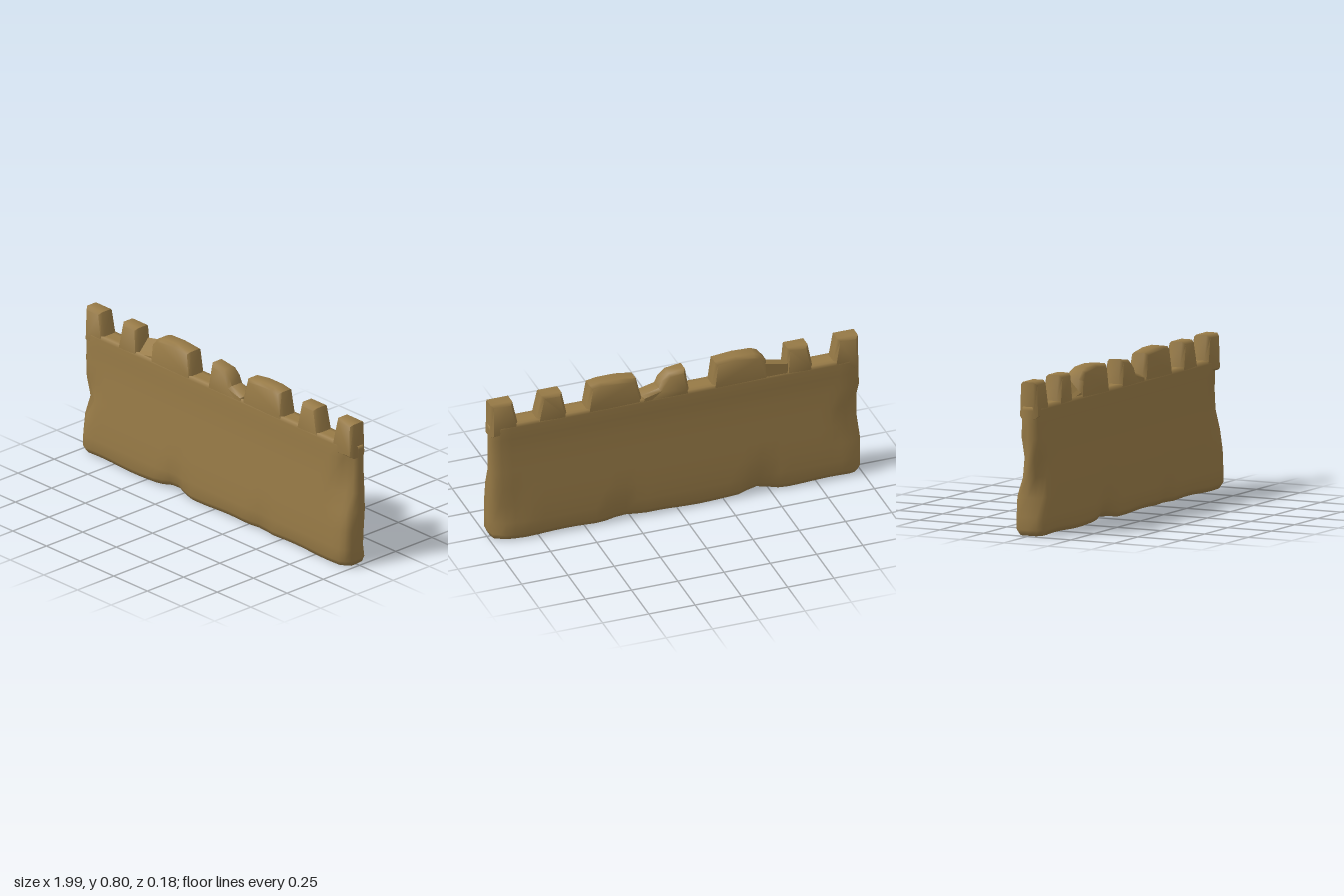
import * as THREE from 'three';
import { mergeVertices, toCreasedNormals } from 'three/addons/utils/BufferGeometryUtils.js';

// Half thickness of the wall at each height row
const ROWS = [[0.006, 0.074], [0.035, 0.09], [0.1, 0.089], [0.2, 0.084], [0.3, 0.074], [0.4, 0.065],
  [0.5, 0.056], [0.58, 0.053], [0.645, 0.052], [0.664, 0.047]];

// Worn spots: centre x, y, side, radius, push in x, y and z
const DENTS = [
  [-1, 0.3, 1, 0.13, 0.06, 0, -0.025], [-1, 0.36, -1, 0.14, 0.06, 0, 0.025],
  [1, 0.45, 1, 0.17, -0.05, 0, -0.03], [1, 0.62, 1, 0.1, -0.03, 0, -0.015],
  [1, 0.12, -1, 0.2, -0.03, 0, 0.025],
  [-0.3, 0.02, 1, 0.11, 0, 0.02, -0.025], [0.35, 0.02, 1, 0.1, 0, 0.006, -0.012],
  [-0.45, 0.02, -1, 0.12, 0, 0.015, 0.03], [0.3, 0.02, -1, 0.12, 0, 0.01, 0.02],
];

function wallBody() {
  const nx = 36, ny = ROWS.length - 1;
  let geo = new THREE.BoxGeometry(2, 2, 2, nx, ny, 4);
  geo.deleteAttribute('uv');
  geo.deleteAttribute('normal');
  geo = mergeVertices(geo);
  const p = geo.attributes.position;
  for (let i = 0; i < p.count; i++) {
    const u = p.getX(i), w = p.getZ(i);
    const row = Math.round((p.getY(i) + 1) / 2 * ny);
    let [y, half] = ROWS[row];
    let x = u * (row === 0 ? 0.985 : 0.997), z = w * half;
    // chamfered upright corners
    if (Math.abs(u) > 0.999) {
      if (Math.abs(w) > 0.9) { x *= 0.975; z *= 0.85; }
      else if (Math.abs(w) > 0.4) z *= 1.15;
    }
    // uneven lower edge
    if (row < 2) y += 0.004 * Math.sin(u * 13);
    for (const [dx, dy, side, r, px, py, pz] of DENTS) {
      if (w * side < 0.4) continue;
      const k = Math.max(0, 1 - Math.hypot(u - dx, y - dy) / r) * Math.abs(w);
      x += px * k; y += py * k; z += pz * k;
    }
    p.setXYZ(i, x, y, z);
  }
  geo.computeVertexNormals();
  return geo;
}

// Outline extruded through the wall with chamfered edges, thinning upward
function merlon(points, front = 0.051, back = -0.051) {
  const bevel = 0.018;
  const shape = new THREE.Shape(points.map(([x, y]) => new THREE.Vector2(x, y)));
  const geo = new THREE.ExtrudeGeometry(shape, {
    depth: front - back - 2 * bevel, steps: 1, bevelEnabled: true,
    bevelThickness: bevel, bevelSize: 0.014, bevelOffset: -0.014, bevelSegments: 1,
  });
  geo.translate(0, 0, back + bevel);
  const p = geo.attributes.position;
  for (let i = 0; i < p.count; i++) {
    p.setZ(i, p.getZ(i) * (1 - 0.7 * Math.max(0, p.getY(i) - 0.66)));
  }
  return toCreasedNormals(geo, 0.9);
}

const MERLONS = [
  [[-0.995, 0.6], [-0.85, 0.6], [-0.858, 0.665], [-0.88, 0.79], [-0.992, 0.79]],
  [[-0.765, 0.6], [-0.595, 0.6], [-0.6, 0.68], [-0.61, 0.792], [-0.72, 0.792], [-0.745, 0.665]],
  [[-0.51, 0.6], [-0.2, 0.6], [-0.203, 0.66], [-0.22, 0.79], [-0.33, 0.8], [-0.43, 0.796],
    [-0.465, 0.782], [-0.5, 0.74]],
  [[-0.09, 0.6], [0.19, 0.6], [0.18, 0.678], [0.085, 0.702], [0.068, 0.74], [0.03, 0.775],
    [-0.058, 0.787], [-0.077, 0.67]],
  [[0.17, 0.6], [0.485, 0.6], [0.475, 0.67], [0.455, 0.79], [0.4, 0.8], [0.3, 0.8], [0.207, 0.786], [0.18, 0.675]],
  [[0.57, 0.6], [0.755, 0.6], [0.745, 0.665], [0.718, 0.79], [0.61, 0.79], [0.583, 0.665]],
  [[0.835, 0.6], [0.995, 0.6], [0.992, 0.79], [0.875, 0.79], [0.848, 0.665]],
];

export function createModel() {
  const group = new THREE.Group();
  const stone = new THREE.MeshStandardMaterial({ color: 0x977a46 });
  stone.name = 'sandstone';
  const add = (name, geo) => {
    const mesh = new THREE.Mesh(geo, stone);
    mesh.name = name;
    group.add(mesh);
  };

  add('wallBody', wallBody());
  MERLONS.forEach((pts, i) => add(`merlon${i + 1}`, merlon(pts)));

  // Broken ramp filling one gap, sloping down towards the front
  const ramp = merlon([[-0.62, 0.6], [-0.46, 0.6], [-0.46, 0.752], [-0.5, 0.745], [-0.62, 0.72]], 0.045, -0.05);
  const p = ramp.attributes.position;
  for (let i = 0; i < p.count; i++) {
    if (p.getY(i) > 0.68 && p.getZ(i) > 0) p.setY(i, p.getY(i) - 0.055);
  }
  ramp.computeVertexNormals();
  add('brokenRamp', ramp);
  return group;
}
